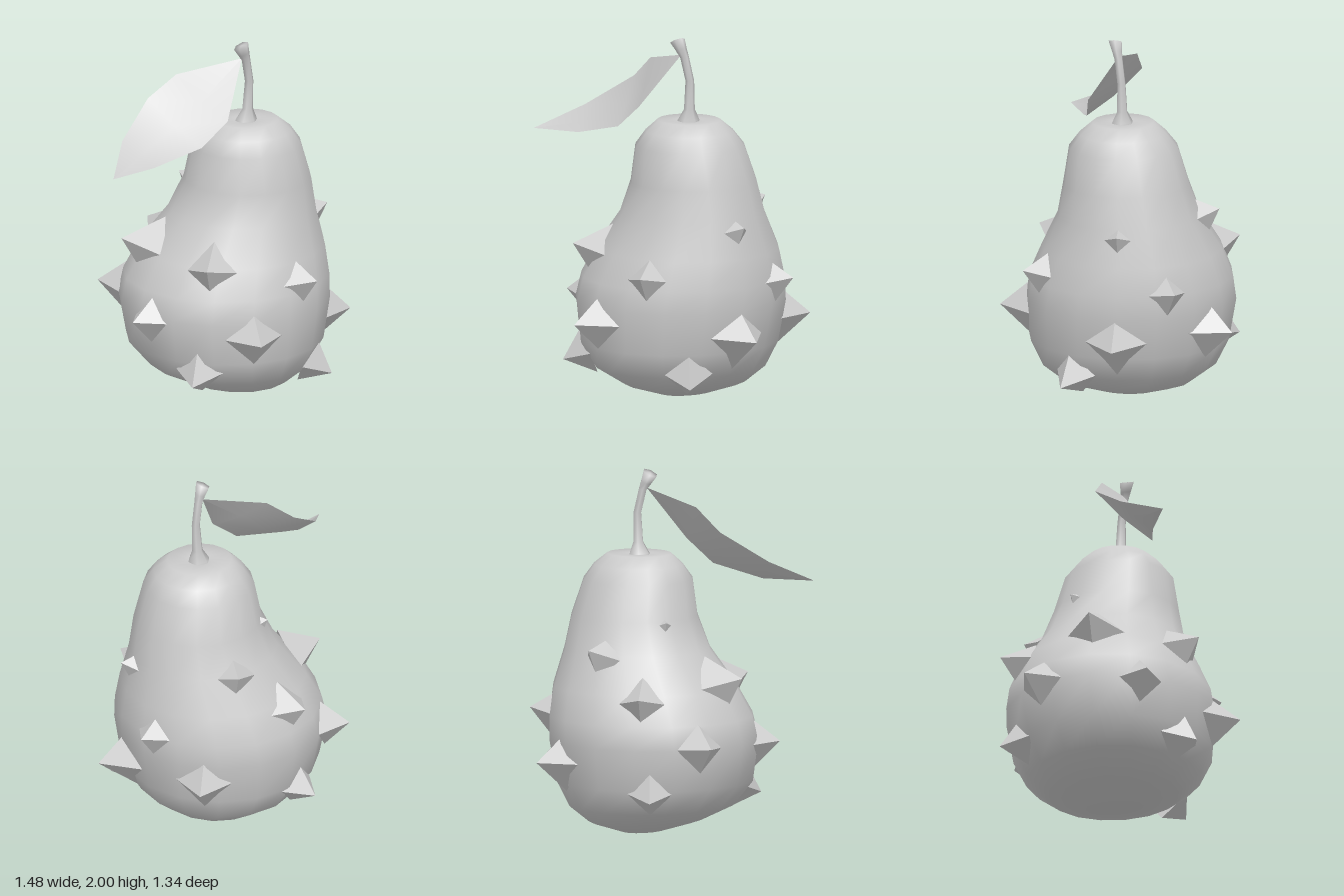
import * as THREE from 'three';

const material = new THREE.MeshStandardMaterial({ color: 0xcccccc });
const facetMaterial = new THREE.MeshStandardMaterial({ color: 0xcccccc, flatShading: true });
const leafMaterial = new THREE.MeshStandardMaterial({ color: 0xcccccc, side: THREE.DoubleSide });

// Skin through elliptical rings, bottom to top: { y, x, z, rx, rz, slope }
function loft(rings, sides) {
  const pos = [], index = [];
  for (const { y, x, z, rx, rz, slope = 0 } of rings) {
    for (let i = 0; i < sides; i++) {
      const a = (i / sides) * Math.PI * 2;
      const dx = rx * Math.cos(a);
      pos.push(x + dx, y + slope * dx, z + rz * Math.sin(a));
    }
  }
  for (let r = 0; r < rings.length - 1; r++) {
    for (let i = 0; i < sides; i++) {
      const a = r * sides + i, b = r * sides + (i + 1) % sides;
      index.push(a, a + sides, b, b, a + sides, b + sides);
    }
  }
  const geo = new THREE.BufferGeometry();
  geo.setAttribute('position', new THREE.Float32BufferAttribute(pos, 3));
  geo.setIndex(index);
  geo.computeVertexNormals();
  return geo;
}

function addMesh(parent, name, geo, mat) {
  const mesh = new THREE.Mesh(geo, mat);
  mesh.name = name;
  parent.add(mesh);
  return mesh;
}

// Lopsided fruit: y, then x and z extents at that height
function makeBody() {
  const extents = [
    [0.00, 0.08, 0.08, -0.04, -0.04],
    [0.01, -0.02, 0.19, -0.20, 0.11],
    [0.07, -0.22, 0.37, -0.40, 0.31],
    [0.16, -0.41, 0.48, -0.53, 0.44],
    [0.30, -0.53, 0.56, -0.60, 0.51],
    [0.53, -0.57, 0.60, -0.64, 0.525],
    [0.66, -0.54, 0.60, -0.625, 0.50],
    [0.82, -0.45, 0.58, -0.57, 0.43],
    [1.02, -0.29, 0.53, -0.46, 0.335],
    [1.20, -0.205, 0.50, -0.40, 0.30],
    [1.40, -0.17, 0.44, -0.335, 0.27],
    [1.48, -0.115, 0.385, -0.27, 0.21],
    [1.54, -0.05, 0.31, -0.20, 0.14],
    [1.535, 0.06, 0.20, -0.09, 0.04],
    [1.52, 0.13, 0.13, -0.025, -0.025],
  ];
  return loft(extents.map(([y, x0, x1, z0, z1]) => ({
    y, x: (x0 + x1) / 2, z: (z0 + z1) / 2, rx: (x1 - x0) / 2, rz: (z1 - z0) / 2,
  })), 16);
}

// Hexagonal stalk, flared at both ends and cut at a slant
function makeStem() {
  const rings = [
    [1.51, 0.13, -0.025, 0.065, 0],
    [1.54, 0.132, -0.025, 0.06, 0],
    [1.60, 0.14, -0.025, 0.03, 0],
    [1.76, 0.148, -0.022, 0.024, 0],
    [1.89, 0.125, -0.003, 0.024, 0.2],
    [1.93, 0.11, 0.008, 0.03, 0.4],
    [1.98, 0.09, 0.02, 0.04, 0.5],
    [1.98, 0.09, 0.02, 0.0, 0],
  ];
  return loft(rings.map(([y, x, z, r, slope]) => ({ y, x, z, rx: r, rz: r, slope })), 6);
}

// Curved leaf: upper edge, midrib and lower edge from stalk to tip
function makeLeaf() {
  const root = [0.1, 1.9, 0], tip = [-0.745, 1.405, 0.39];
  const upper = [[-0.26, 1.825, -0.05], [-0.42, 1.70, -0.055], [-0.62, 1.53, 0.13]];
  const lower = [[-0.035, 1.61, 0.19], [-0.19, 1.48, 0.22], [-0.48, 1.41, 0.28]];
  const rows = [[root, root, root]];
  upper.forEach((u, i) => {
    const mid = u.map((v, k) => (v + lower[i][k]) / 2);
    mid[1] -= 0.02;
    rows.push([u, mid, lower[i]]);
  });
  rows.push([tip, tip, tip]);
  const index = [];
  for (let r = 0; r < rows.length - 1; r++) {
    for (let c = 0; c < 2; c++) {
      const a = r * 3 + c;
      index.push(a, a + 3, a + 1, a + 1, a + 3, a + 4);
    }
  }
  const geo = new THREE.BufferGeometry();
  geo.setAttribute('position', new THREE.Float32BufferAttribute(rows.flat(2), 3));
  geo.setIndex(index);
  geo.computeVertexNormals();
  return geo;
}

// Four-sided thorns: tip x, y, z and half width at the skin
const thorns = [
  [0.02, 0.45, 0.67, 0.13], [-0.24, 0.85, 0.49, 0.13],
  [0.39, 0.74, 0.49, 0.11], [0.54, 0.12, 0.26, 0.09],
  [-0.60, 0.52, 0.27, 0.11], [-0.325, 0.19, 0.495, 0.09],
  [-0.57, 0.90, -0.06, 0.12], [0.735, 0.38, -0.05, 0.13],
  [0.605, 1.00, -0.06, 0.075], [0.615, 0.69, -0.385, 0.085],
  [0.38, 0.43, -0.67, 0.11], [0.11, 1.06, -0.56, 0.08],
  [-0.26, 0.82, -0.62, 0.10], [-0.325, 0.25, -0.61, 0.085],
  [-0.605, 0.55, -0.415, 0.09], [-0.19, 1.20, -0.24, 0.05],
];

function addThorns(parent) {
  const group = new THREE.Group();
  group.name = 'thorns';
  parent.add(group);
  for (const [x, y, z, w] of thorns) {
    const tip = new THREE.Vector3(x, y, z);
    const out = new THREE.Vector3(x - 0.03, 0, z + 0.05).normalize();
    out.y = (y - 0.42) * (y < 0.42 ? 1.6 : 0.7);
    const length = w * 1.7;
    // Long axis points outward, one corner points up
    const cone = new THREE.ConeGeometry(length * 0.88, length, 4, 1);
    cone.translate(0, -length / 2, 0).rotateX(Math.PI / 2);
    const thorn = addMesh(group, 'thorn', cone, facetMaterial);
    thorn.position.copy(tip);
    thorn.lookAt(tip.clone().add(out));
  }
}

export function createModel() {
  const model = new THREE.Group();
  model.name = 'thornyPear';
  addMesh(model, 'body', makeBody(), material);
  addMesh(model, 'stem', makeStem(), material);
  addMesh(model, 'leaf', makeLeaf(), leafMaterial);
  addThorns(model);
  return model;
}
